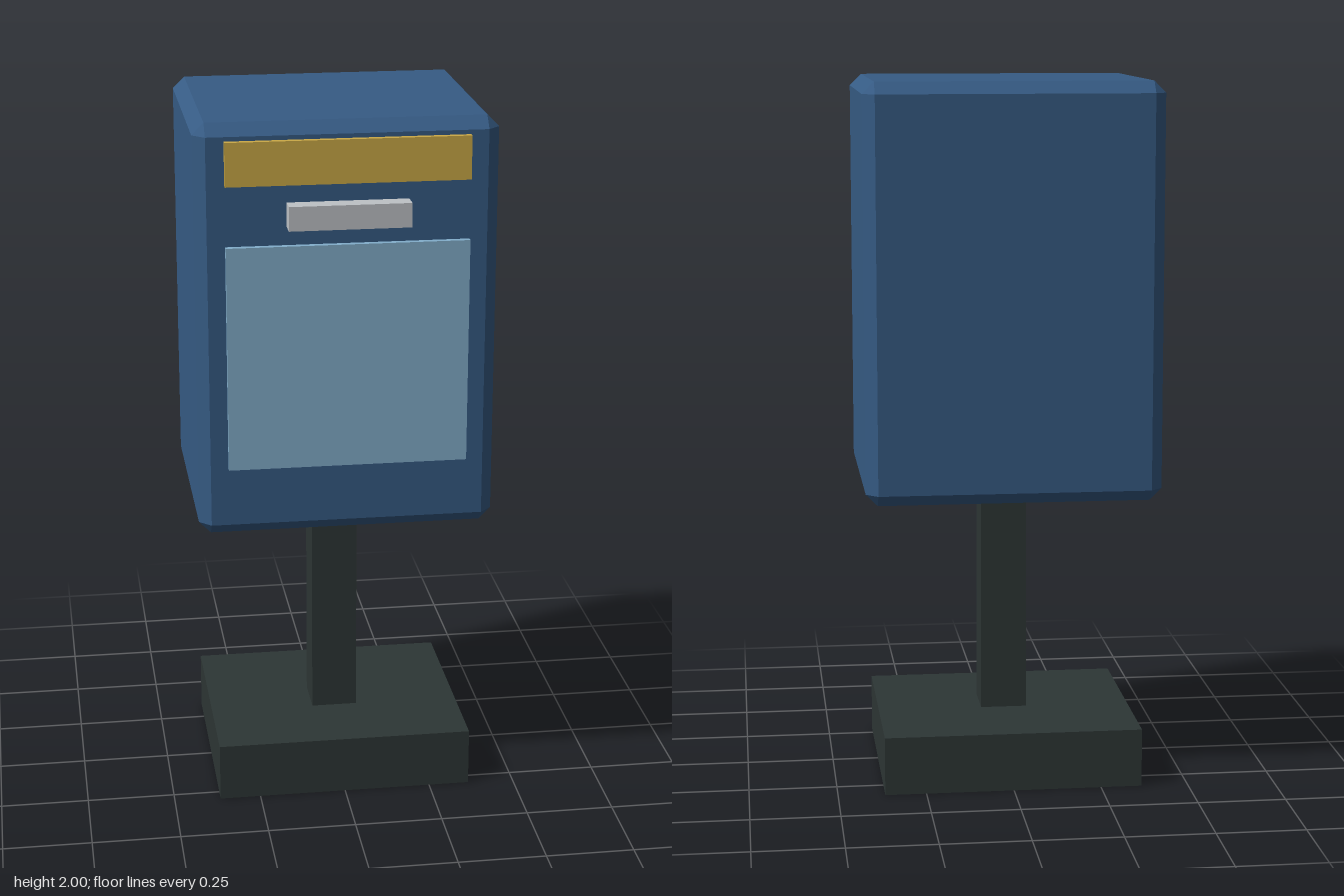
import * as THREE from 'three';
import { ConvexGeometry } from 'three/addons/geometries/ConvexGeometry.js';

const material = (name, color) => {
  const m = new THREE.MeshStandardMaterial({ color });
  m.name = name;
  return m;
};

// Box with every edge cut by a flat chamfer c
function chamferedBox(w, h, d, c) {
  const points = [];
  for (const x of [-1, 1]) for (const y of [-1, 1]) for (const z of [-1, 1]) {
    for (let axis = 0; axis < 3; axis++) {
      const inset = [c, c, c];
      inset[axis] = 0;
      points.push(new THREE.Vector3(
        x * (w / 2 - inset[0]), y * (h / 2 - inset[1]), z * (d / 2 - inset[2])));
    }
  }
  return new ConvexGeometry(points);
}

export function createModel() {
  const group = new THREE.Group();
  group.name = 'postBox';

  const blue = material('blue paint', 0x365b84);
  const lightBlue = material('light blue panel', 0x82aecb);
  const gold = material('gold', 0xcba946);
  const silver = material('silver', 0xbec2c6);
  const dark = material('dark metal', 0x2d3635);

  // Part centred on x, spanning y0..y1 and z0..z1
  function add(name, mat, width, y0, y1, z0, z1, chamfer = 0) {
    const h = y1 - y0, d = z1 - z0;
    const geometry = chamfer
      ? chamferedBox(width, h, d, chamfer)
      : new THREE.BoxGeometry(width, h, d);
    const mesh = new THREE.Mesh(geometry, mat);
    mesh.name = name;
    mesh.position.set(0, (y0 + y1) / 2, (z0 + z1) / 2);
    group.add(mesh);
  }

  // Stand
  add('base', dark, 0.734, 0, 0.167, -0.338, 0.292);
  add('post', dark, 0.132, 0.167, 0.837, -0.07, 0.06);

  // Cabinet
  add('cabinet', blue, 0.828, 0.837, 2, -0.374, 0.323, 0.033);

  // Front fittings
  add('signPlate', gold, 0.664, 1.835, 1.955, 0.323, 0.34);
  add('handle', silver, 0.332, 1.718, 1.785, 0.323, 0.374);
  add('frontPanel', lightBlue, 0.664, 1.037, 1.668, 0.323, 0.34);

  return group;
}
